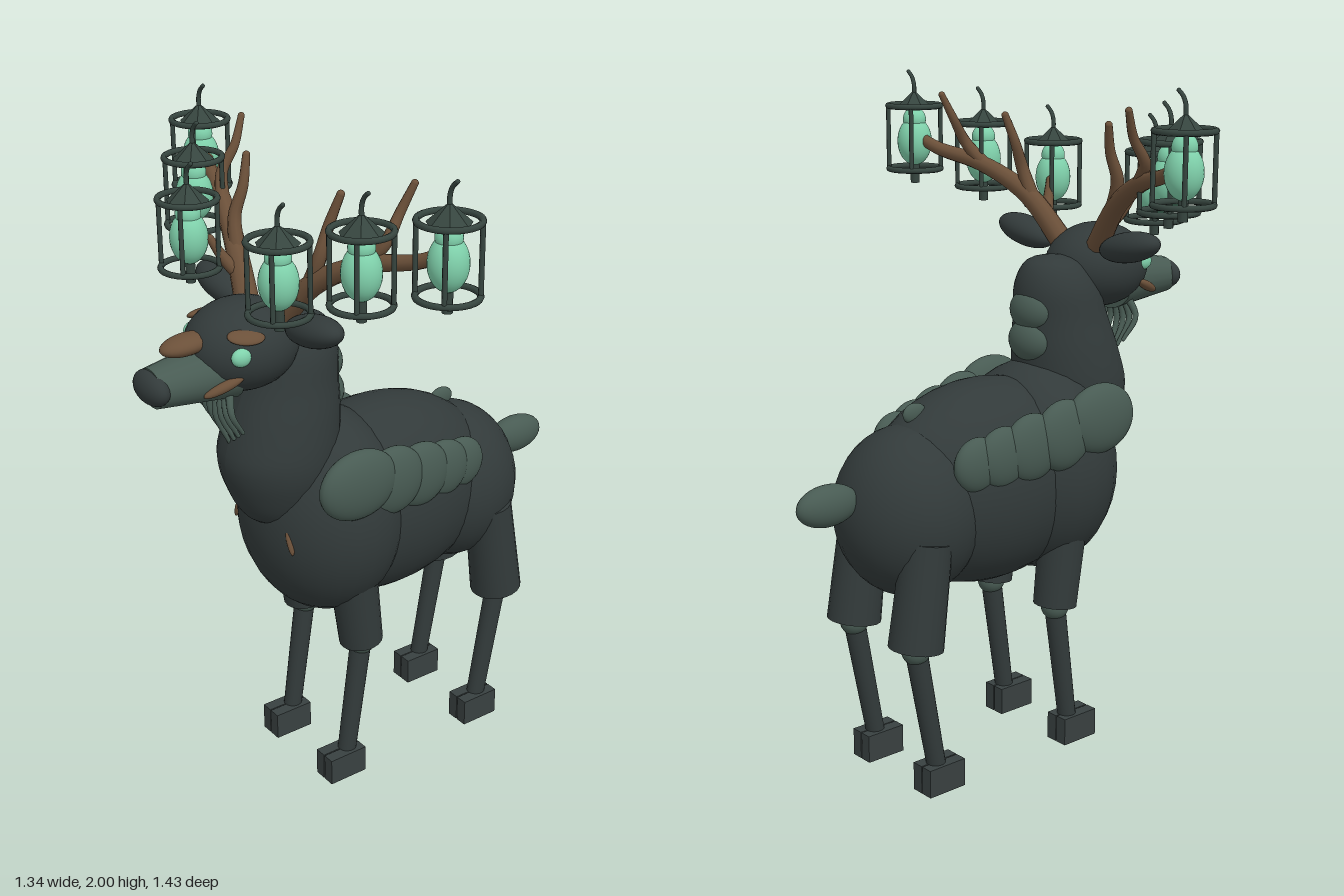
import * as THREE from 'three';

const mat = (name, color, extra = {}) => {
  const m = new THREE.MeshStandardMaterial({ color, ...extra });
  m.name = name;
  return m;
};
const V = (p) => new THREE.Vector3(...p);

export function createModel() {
  const root = new THREE.Group();
  root.name = 'lanternStag';
  const hide = mat('darkHide', 0x323a3a);
  const moss = mat('moss', 0x485b53);
  const horn = mat('antlerBrown', 0x6b5039);
  const glow = mat('mintGlow', 0x80d2ac);
  const metal = mat('lanternMetal', 0x36453f);
  const roofMetal = mat('roofMetal', 0x36453f, { flatShading: true });
  const hoofMat = mat('hoof', 0x384040);

  const add = (name, geo, material, parent = root) => {
    const m = new THREE.Mesh(geo, material);
    m.name = name;
    parent.add(m);
    return m;
  };
  // Ellipsoid with centre, radii and optional rotation
  const blob = (name, pos, r, material, rot = [0, 0, 0], parent = root) => {
    const m = add(name, new THREE.SphereGeometry(1, 28, 20), material, parent);
    m.position.set(...pos);
    m.scale.set(...r);
    m.rotation.set(...rot);
    return m;
  };
  // Tapered cylinder from a to b
  const limb = (name, a, b, ra, rb, material, parent = root, sides = 20) => {
    const A = V(a), B = V(b), d = B.clone().sub(A);
    const m = add(name, new THREE.CylinderGeometry(rb, ra, d.length(), sides), material, parent);
    m.position.copy(A).add(B).multiplyScalar(0.5);
    m.quaternion.setFromUnitVectors(new THREE.Vector3(0, 1, 0), d.normalize());
    return m;
  };
  // Curved tube that tapers from r0 to r1, with a rounded tip
  const branch = (name, pts, r0, r1, material, parent = root, n = 20) => {
    const curve = new THREE.CatmullRomCurve3(pts.map(V));
    const geo = new THREE.TubeGeometry(curve, n, 1, 10);
    const p = geo.attributes.position, c = new THREE.Vector3(), v = new THREE.Vector3();
    for (let i = 0; i < p.count; i++) {
      const t = Math.floor(i / 11) / n;
      curve.getPointAt(t, c);
      v.fromBufferAttribute(p, i).sub(c).multiplyScalar(r0 + (r1 - r0) * t).add(c);
      p.setXYZ(i, v.x, v.y, v.z);
    }
    add(name, geo, material, parent);
    blob(name + 'Tip', pts[pts.length - 1], [r1, r1, r1], material, [0, 0, 0], parent);
  };

  // Torso
  blob('chest', [0, 0.86, 0.14], [0.275, 0.32, 0.235], hide);
  blob('barrel', [0, 0.85, -0.06], [0.24, 0.305, 0.4], hide);
  blob('rump', [0, 0.81, -0.335], [0.22, 0.25, 0.218], hide);
  blob('tail', [0, 0.88, -0.615], [0.046, 0.06, 0.1], moss);
  blob('spineTuft', [0, 1.09, -0.31], [0.016, 0.03, 0.04], moss);

  // Neck: a lathe leaning back toward the top
  const profile = new THREE.SplineCurve([
    [0, 0.84], [0.1, 0.9], [0.15, 1.0], [0.167, 1.09], [0.157, 1.2],
    [0.138, 1.3], [0.12, 1.4], [0.075, 1.47], [0, 1.49],
  ].map((p) => new THREE.Vector2(...p))).getPoints(32);
  profile.forEach((p) => { p.x = Math.max(p.x, 0); });
  const neckGeo = new THREE.LatheGeometry(profile, 32);
  const np = neckGeo.attributes.position;
  for (let i = 0; i < np.count; i++) {
    np.setZ(i, np.getZ(i) * 1.06 + 0.285 - 0.19 * Math.max(0, np.getY(i) - 1.1));
  }
  neckGeo.computeVertexNormals();
  add('neck', neckGeo, hide);
  [[1.33, 0.135], [1.24, 0.13]].forEach(([y, z]) =>
    blob('napePlate', [0, y, z], [0.08, 0.065, 0.055], moss));

  // Head
  blob('skull', [0, 1.44, 0.395], [0.147, 0.128, 0.165], hide);
  limb('muzzle', [0, 1.385, 0.45], [0, 1.377, 0.68], 0.088, 0.056, moss).scale.x = 1.15;
  blob('nose', [0, 1.38, 0.678], [0.076, 0.048, 0.038], hide);
  blob('snoutPlate', [0, 1.477, 0.568], [0.046, 0.028, 0.078], horn, [0.08, 0, 0]);
  for (let i = -3; i <= 3; i++) {
    const x = i * 0.024, len = 0.17 - Math.abs(i) * 0.018;
    branch('beardStrand', [
      [x * 0.8, 1.335, 0.475], [x * 1.15, 1.335 - len * 0.5, 0.485],
      [x, 1.325 - len, 0.445],
    ], 0.012, 0.006, moss, root, 10);
  }

  // Lantern hanging in place, y measured from its lower ring
  const lantern = (x, y, z) => {
    const g = new THREE.Group();
    g.name = 'lantern';
    g.position.set(x, y, z);
    root.add(g);
    for (const h of [0, 0.195]) {
      const ring = add('ring', new THREE.TorusGeometry(0.082, 0.009, 8, 32), metal, g);
      ring.rotation.x = Math.PI / 2;
      ring.position.y = h;
    }
    for (let i = 0; i < 4; i++) {
      const a = Math.PI / 4 + (i * Math.PI) / 2;
      const bx = 0.082 * Math.cos(a), bz = 0.082 * Math.sin(a);
      limb('bar', [bx, 0, bz], [bx, 0.195, bz], 0.007, 0.007, metal, g, 8);
    }
    const roof = add('roof', new THREE.ConeGeometry(0.06, 0.055, 7), roofMetal, g);
    roof.position.y = 0.215;
    limb('finial', [0, -0.045, 0], [0, 0.02, 0], 0.014, 0.014, metal, g, 10);
    blob('glowBody', [0, 0.085, 0], [0.054, 0.075, 0.054], glow, [0, 0, 0], g);
    blob('glowTop', [0, 0.152, 0], [0.036, 0.038, 0.036], glow, [0, 0, 0], g);
    branch('hook', [[0, 0.225, 0], [0, 0.26, 0], [0.01, 0.283, 0], [0.027, 0.298, 0]],
      0.007, 0.006, metal, g, 8);
  };

  for (const s of [-1, 1]) {
    // Face details and ears
    blob('eye', [s * 0.122, 1.455, 0.472], [0.02, 0.026, 0.03], glow);
    blob('brow', [s * 0.112, 1.505, 0.45], [0.03, 0.012, 0.052], horn, [-0.1, -s * 0.3, -s * 0.45]);
    blob('cheekPlate', [s * 0.098, 1.372, 0.515], [0.016, 0.014, 0.06], horn, [0.4, -s * 0.3, 0]);
    blob('ear', [s * 0.225, 1.525, 0.31], [0.115, 0.045, 0.055], hide, [0, 0, s * 0.2]);
    blob('chestScar', [s * 0.135, 0.86, 0.34], [0.008, 0.04, 0.01], horn, [0, 0, s * 0.35]);

    // Overlapping mossy flank plates, shoulder to hip
    [
      [0.245, 1.04, 0.18, 0.05, 0.105, 0.13], [0.232, 1.01, 0.05, 0.046, 0.105, 0.105],
      [0.217, 0.99, -0.06, 0.044, 0.1, 0.1], [0.203, 0.975, -0.155, 0.042, 0.09, 0.09],
      [0.188, 0.965, -0.235, 0.04, 0.08, 0.08],
    ].forEach(([x, y, z, a, b, c]) => blob('flankPlate', [s * x, y, z], [a, b, c], moss));

    // Legs: upper, knee, shin and cloven hoof
    [
      ['front', 0.145, 0.82, 0.1, 0.066, 0.075, 0.155, 0.175],
      ['hind', -0.385, 0.765, -0.43, 0.08, 0.072, -0.36, -0.35],
    ].forEach(([n, zTop, yTop, zKnee, rKnee, rTop, zFoot, zHoof]) => {
      const x = s * 0.148;
      limb(n + 'UpperLeg', [x, yTop, zTop], [x, 0.457, zKnee], rTop, rKnee, hide);
      blob(n + 'Knee', [x, 0.45, zKnee], [0.042, 0.042, 0.042], moss);
      limb(n + 'Shin', [x, 0.45, zKnee], [x, 0.07, zFoot], 0.032, 0.028, hide);
      for (const k of [-1, 1]) {
        const toe = add(n + 'Hoof', new THREE.BoxGeometry(0.037, 0.085, 0.128), hoofMat);
        toe.position.set(x + k * 0.0205, 0.0425, zHoof);
      }
    });

    // Antler: beam with two rising tines and a forward prong
    branch('antlerBeam', [
      [s * 0.07, 1.5, 0.325], [s * 0.19, 1.64, 0.285], [s * 0.34, 1.725, 0.23],
      [s * 0.49, 1.765, 0.175], [s * 0.56, 1.8, 0.15],
    ], 0.036, 0.018, horn);
    branch('innerTine', [
      [s * 0.17, 1.62, 0.29], [s * 0.205, 1.72, 0.275], [s * 0.205, 1.8, 0.245], [s * 0.222, 1.88, 0.22],
    ], 0.024, 0.011, horn);
    branch('outerTine', [
      [s * 0.33, 1.72, 0.235], [s * 0.385, 1.79, 0.2], [s * 0.385, 1.86, 0.155], [s * 0.4, 1.935, 0.12],
    ], 0.022, 0.01, horn);
    branch('forwardProng', [
      [s * 0.13, 1.57, 0.305], [s * 0.16, 1.62, 0.34], [s * 0.185, 1.68, 0.37],
    ], 0.022, 0.011, horn);

    // Three lanterns along the antler
    lantern(s * 0.22, 1.597, 0.415);
    lantern(s * 0.4, 1.648, 0.285);
    lantern(s * 0.578, 1.697, 0.152);
  }
  return root;
}
